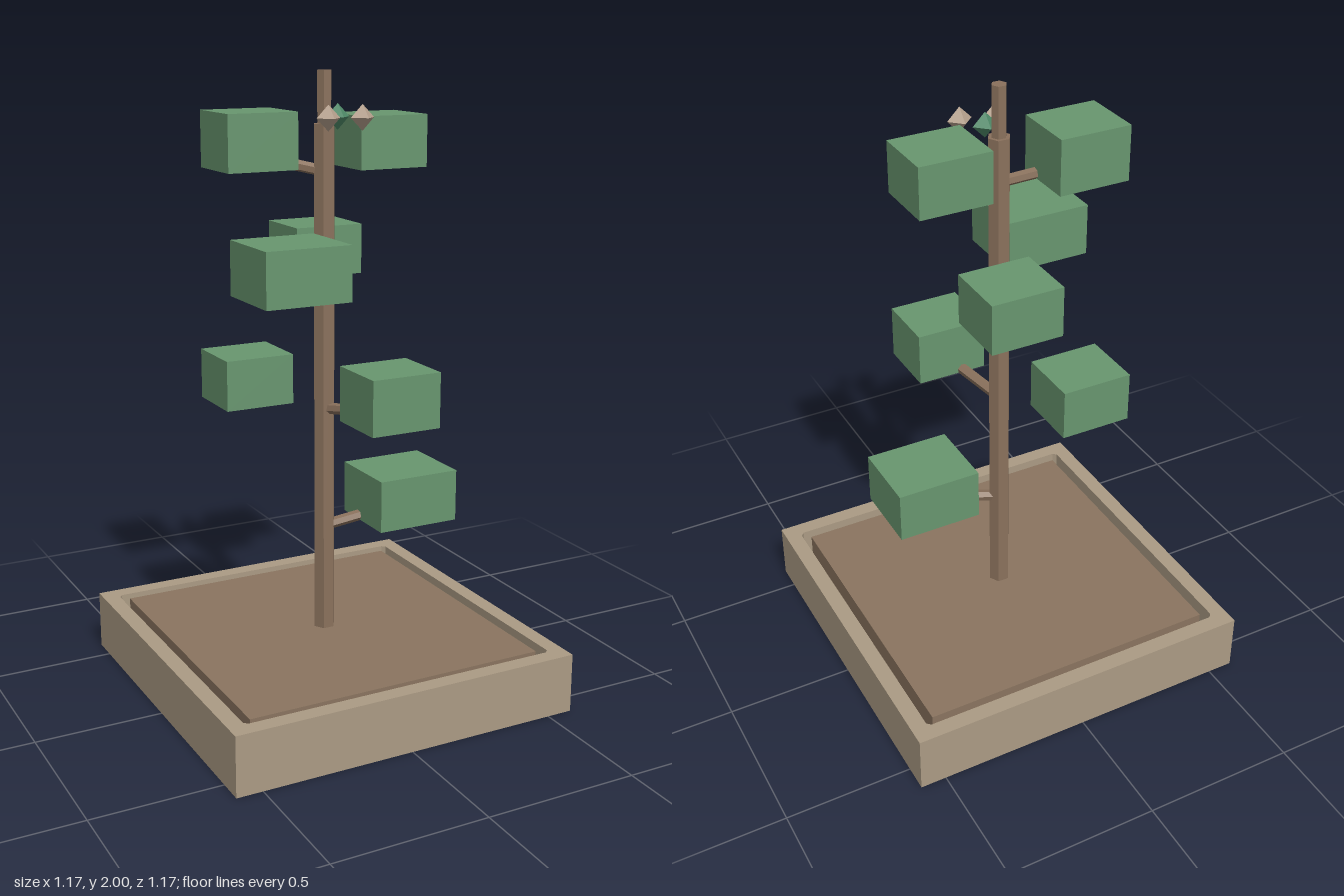
import * as THREE from 'three';

const flat = (name, color) => new THREE.MeshStandardMaterial({ name, color });

export function createModel() {
  const model = new THREE.Group();
  model.name = 'pottedTree';
  const stone = flat('planterTan', 0xab9b84);
  const soilBrown = flat('soilBrown', 0x8a745f);
  const bark = flat('barkBrown', 0x8a715c);
  const leaf = flat('leafGreen', 0x68966f);
  const budTan = flat('budTan', 0xb5a08c);
  const budGreen = flat('budGreen', 0x4f8a68);

  const add = (name, geometry, material, x = 0, y = 0, z = 0, parent = model) => {
    // faceted normals everywhere
    const g = geometry.index ? geometry.toNonIndexed() : geometry;
    g.computeVertexNormals();
    const mesh = new THREE.Mesh(g, material);
    mesh.name = name;
    mesh.position.set(x, y, z);
    parent.add(mesh);
    return mesh;
  };

  // Square planter: walls with a chamfered opening, and a floor
  const R = 0.585, I = 0.532, C = 0.012, floor = 0.05, rimTop = 0.195;
  const wall = new THREE.Shape([[-R, -R], [R, -R], [R, R], [-R, R]].map(p => new THREE.Vector2(...p)));
  wall.holes.push(new THREE.Path([
    [-I + C, -I], [-I, -I + C], [-I, I - C], [-I + C, I],
    [I - C, I], [I, I - C], [I, -I + C], [I - C, -I],
  ].map(p => new THREE.Vector2(...p))));
  const wallGeometry = new THREE.ExtrudeGeometry(wall, { depth: rimTop, bevelEnabled: false });
  wallGeometry.rotateX(-Math.PI / 2);
  const planter = new THREE.Group();
  planter.name = 'planter';
  model.add(planter);
  add('planterWalls', wallGeometry, stone, 0, 0, 0, planter);
  add('planterFloor', new THREE.BoxGeometry(2 * I, floor, 2 * I), stone, 0, floor / 2, 0, planter);

  // Soil block, separated from the walls by a narrow trench
  add('soil', new THREE.BoxGeometry(1.004, 0.14, 1.004), soilBrown, 0, 0.12, 0);

  // Six-sided trunk with a thinner tip
  const post = (name, r, y0, y1) => {
    const g = new THREE.CylinderGeometry(r, r, y1 - y0, 6);
    g.rotateY(Math.PI / 6);
    add(name, g, bark, 0, (y0 + y1) / 2, 0);
  };
  post('trunk', 0.036, 0.18, 1.84);
  post('trunkTip', 0.024, 1.84, 2);

  // Branches: height at the trunk, then the outer end
  const up = new THREE.Vector3(0, 1, 0);
  [
    [0.54, 0.17, 0.575, 0.035],
    [0.938, 0.048, 0.965, 0.17],
    [1.335, -0.13, 1.362, 0.115],
    [1.695, -0.165, 1.735, -0.065],
  ].forEach(([y, ex, ey, ez]) => {
    const start = new THREE.Vector3(0, y, 0), end = new THREE.Vector3(ex, ey, ez);
    const dir = end.clone().sub(start);
    const mid = start.add(end).multiplyScalar(0.5);
    const branch = add('branch', new THREE.CylinderGeometry(0.018, 0.018, dir.length(), 6), bark, mid.x, mid.y, mid.z);
    branch.quaternion.setFromUnitVectors(up, dir.normalize());
  });

  // Foliage blocks: x, y and z ranges
  [
    [0.115, 0.395, 0.55, 0.72, -0.075, 0.175],
    [-0.038, 0.195, 0.945, 1.12, 0.178, 0.388],
    [-0.297, -0.065, 0.94, 1.103, -0.302, -0.093],
    [-0.347, -0.068, 1.345, 1.515, 0.06, 0.312],
    [-0.03, 0.204, 1.34, 1.502, -0.341, -0.131],
    [-0.331, -0.099, 1.705, 1.88, -0.188, 0.021],
    [0.087, 0.32, 1.70, 1.863, -0.13, 0.079],
  ].forEach(([x0, x1, y0, y1, z0, z1]) => add('foliage',
    new THREE.BoxGeometry(x1 - x0, y1 - y0, z1 - z0), leaf,
    (x0 + x1) / 2, (y0 + y1) / 2, (z0 + z1) / 2));

  // Buds near the top
  [
    [-0.034, 0.093, budTan],
    [0.022, 0.046, budGreen],
    [0.07, 0.115, budTan],
  ].forEach(([x, z, m]) => add('bud', new THREE.OctahedronGeometry(0.04), m, x, 1.863, z));

  return model;
}
